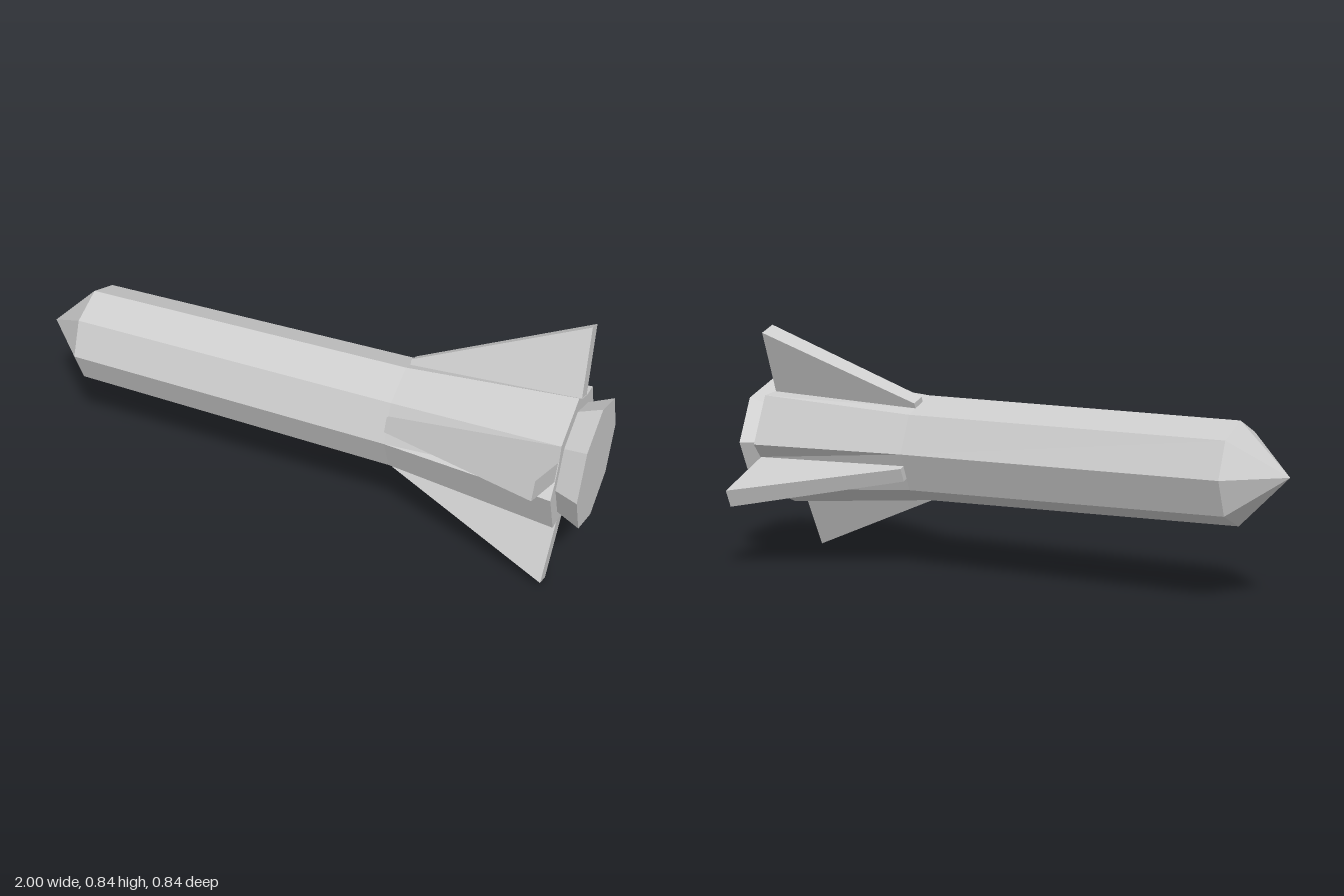
import * as THREE from 'three';

const AXIS_Y = 0.42;
const material = new THREE.MeshStandardMaterial({ color: 0xcccccc, flatShading: true });

// One 16-point cross-section: an octagon with two extra points on every second
// side, where a fin attaches. apothem sets how far out those points sit.
function section(x, r, halfWidth, apothem = r * Math.cos(Math.PI / 8)) {
  const points = [];
  for (let i = 0; i < 8; i++) {
    const a = (i * Math.PI) / 4;
    points.push([x, r * Math.sin(a), r * Math.cos(a)]);
    if (i % 2) continue;
    const m = a + Math.PI / 8;
    for (const t of [-halfWidth, halfWidth]) {
      points.push([x, apothem * Math.sin(m) + t * Math.cos(m), apothem * Math.cos(m) - t * Math.sin(m)]);
    }
  }
  return points;
}

// Joins successive cross-sections with quads
function loft(sections) {
  const positions = [];
  for (let s = 0; s < sections.length - 1; s++) {
    const p = sections[s], q = sections[s + 1], n = p.length;
    for (let i = 0; i < n; i++) {
      const j = (i + 1) % n;
      positions.push(...p[i], ...q[i], ...q[j], ...p[i], ...q[j], ...p[j]);
    }
  }
  const geometry = new THREE.BufferGeometry();
  geometry.setAttribute('position', new THREE.Float32BufferAttribute(positions, 3));
  geometry.computeVertexNormals();
  return geometry;
}

// Swept fin: a box whose corners are moved to a tapering wedge
function finGeometry() {
  const geometry = new THREE.BoxGeometry(2, 2, 2).toNonIndexed();
  const p = geometry.attributes.position;
  for (let i = 0; i < p.count; i++) {
    const rear = p.getX(i) > 0, outer = p.getY(i) > 0, side = Math.sign(p.getZ(i));
    const x = rear ? (outer ? 0.905 : 0.918) : 0.335;
    const y = rear ? (outer ? 0.44 : 0.19) : (outer ? 0.19 : 0.16);
    p.setXYZ(i, x, y, side * (rear ? 0.0325 : 0.025));
  }
  geometry.computeVertexNormals();
  return geometry;
}

export function createModel() {
  const rocket = new THREE.Group();
  rocket.name = 'rocket';
  rocket.position.y = AXIS_Y;

  const add = (name, geometry) => {
    const mesh = new THREE.Mesh(geometry, material);
    mesh.name = name;
    rocket.add(mesh);
    return mesh;
  };

  // Pointed nose
  const shoulder = section(-0.83, 0.17, 0.025);
  add('noseCone', loft([section(-1, 0, 0), shoulder]));

  // Body flares to the tail, pinched in at the fin roots, and closes onto the nozzle
  const neck = section(0.92, 0.185, 0.0325);
  add('body', loft([
    shoulder,
    section(0.335, 0.185, 0.025),
    section(0.92, 0.239, 0.0325, 0.206),
    neck,
  ]));

  // Flared nozzle with a flat end
  add('nozzle', loft([neck, section(1, 0.219, 0.0325), section(1, 0, 0)]));

  // Four fins on alternate sides of the octagon
  const fin = finGeometry();
  for (let i = 0; i < 4; i++) {
    add('fin' + (i + 1), fin).rotation.x = Math.PI / 2 - (Math.PI / 8 + (i * Math.PI) / 2);
  }

  const model = new THREE.Group();
  model.name = 'model';
  model.add(rocket);
  return model;
}
